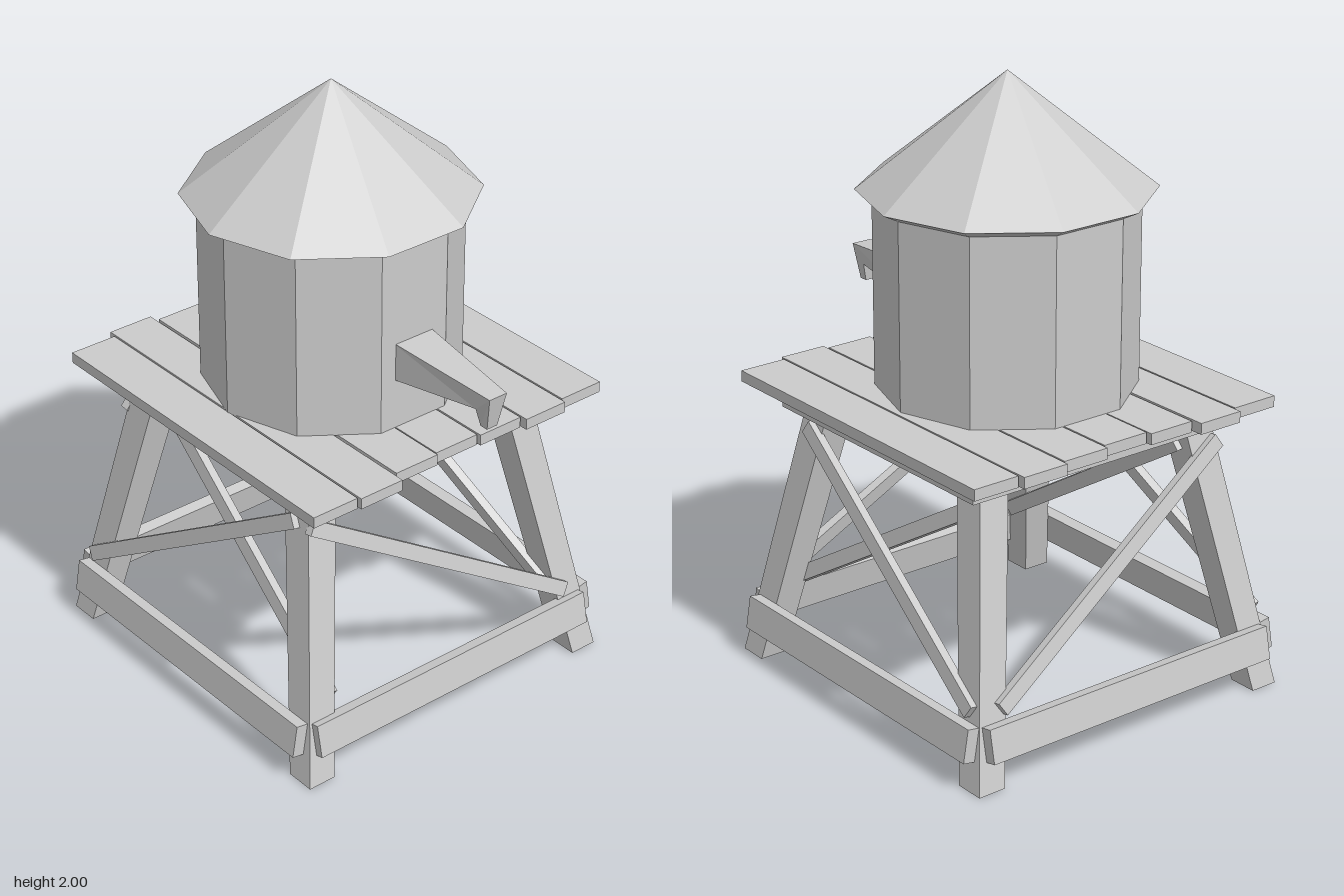
import * as THREE from 'three';

const CZ = -0.06; // tower axis in z
const material = new THREE.MeshStandardMaterial({ color: 0xcccccc, flatShading: true });
const v = (x, y, z) => new THREE.Vector3(x, y, z);

// Outer and inner leg faces, measured from the tower axis at height y
const outX = (y) => 0.603 - 0.165 * y;
const outZ = (y) => 0.63 - 0.205 * y;
const inX = (y) => 0.507 - 0.176 * y;
const inZ = (y) => 0.53 - 0.22 * y;

function add(parent, name, geometry) {
  const mesh = new THREE.Mesh(geometry, material);
  mesh.name = name;
  parent.add(mesh);
  return mesh;
}

function box(parent, name, x0, x1, y0, y1, z0, z1) {
  add(parent, name, new THREE.BoxGeometry(x1 - x0, y1 - y0, z1 - z0))
    .position.set((x0 + x1) / 2, (y0 + y1) / 2, (z0 + z1) / 2);
}

// Square-cut board from a to b; its thickness lies along the given normal
function board(parent, name, a, b, width, thickness, normal) {
  const dir = b.clone().sub(a);
  const mesh = add(parent, name, new THREE.BoxGeometry(dir.length(), width, thickness));
  dir.normalize();
  const n = normal.clone().addScaledVector(dir, -normal.dot(dir)).normalize();
  const up = n.clone().cross(dir);
  mesh.quaternion.setFromRotationMatrix(new THREE.Matrix4().makeBasis(dir, up, n));
  mesh.position.copy(a).add(b).multiplyScalar(0.5);
}

// Closed solid through four-cornered cross-sections
function loft(rings) {
  const pos = [];
  const quad = (a, b, c, d) => [a, b, c, a, c, d].forEach((p) => pos.push(p.x, p.y, p.z));
  for (let r = 0; r < rings.length - 1; r++) {
    for (let i = 0; i < 4; i++) {
      const j = (i + 1) % 4;
      quad(rings[r][i], rings[r][j], rings[r + 1][j], rings[r + 1][i]);
    }
  }
  quad(...rings[0].slice().reverse());
  quad(...rings[rings.length - 1]);
  const g = new THREE.BufferGeometry();
  g.setAttribute('position', new THREE.Float32BufferAttribute(pos, 3));
  g.computeVertexNormals();
  return g;
}

// Ten-sided solid of revolution with corners on the x axis
function decagon(parent, name, profile) {
  const points = profile.map(([r, y]) => new THREE.Vector2(r, y));
  const geometry = new THREE.LatheGeometry(points, 10, Math.PI / 10).toNonIndexed();
  geometry.computeVertexNormals();
  add(parent, name, geometry).position.z = CZ;
}

export function createModel() {
  const model = new THREE.Group();
  model.name = 'waterTower';

  // Four splayed legs
  const legs = new THREE.Group();
  legs.name = 'legs';
  model.add(legs);
  for (const sx of [-1, 1]) {
    for (const sz of [-1, 1]) {
      const ring = (y) => {
        const xs = [sx * outX(y), sx * inX(y)].sort((a, b) => a - b);
        const zs = [CZ + sz * outZ(y), CZ + sz * inZ(y)].sort((a, b) => a - b);
        return [v(xs[0], y, zs[1]), v(xs[1], y, zs[1]), v(xs[1], y, zs[0]), v(xs[0], y, zs[0])];
      };
      add(legs, 'leg', loft([ring(0), ring(0.955)]));
    }
  }

  // Low boards tying the feet, leaning with the legs
  const braces = new THREE.Group();
  braces.name = 'braces';
  model.add(braces);
  for (const s of [-1, 1]) {
    const z = s > 0 ? 0.545 : -0.677;
    board(braces, 'lowerBoard', v(-0.56, 0.155, z), v(0.56, 0.155, z), 0.11, 0.042, v(0, 0.2, s));
    const x = s * 0.598;
    board(braces, 'lowerSideBoard', v(x, 0.155, 0.517), v(x, 0.155, -0.645), 0.11, 0.042, v(s, 0.165, 0));
  }

  // Diagonals: single on front and back, crossed on the sides
  const hi = 0.83, lo = 0.245;
  for (const s of [-1, 1]) {
    board(braces, 'diagonal', v(-0.465, hi, CZ + s * (outZ(hi) + 0.008)),
      v(0.49, lo, CZ + s * (outZ(lo) + 0.008)), 0.05, 0.03, v(0, 0.205, s));
    board(braces, 'outerSideDiagonal', v(s * (outX(hi) + 0.008), hi, 0.35),
      v(s * (outX(lo) + 0.008), lo, -0.61), 0.05, 0.03, v(s, 0.165, 0));
    board(braces, 'innerSideDiagonal', v(s * (inX(hi) - 0.006), hi, -0.47),
      v(s * (inX(lo) - 0.006), lo, 0.49), 0.05, 0.03, v(s, 0.176, 0));
  }

  // Frame under the deck
  const deck = new THREE.Group();
  deck.name = 'deck';
  model.add(deck);
  const t = 0.055;
  for (const z of [-0.55, 0.435 - t]) box(deck, 'frameBeam', -0.49, 0.515, 0.88, 0.955, z, z + t);
  for (const x of [-0.49, 0.515 - t]) box(deck, 'frameSideBeam', x, x + t, 0.88, 0.955, -0.55 + t, 0.435 - t);

  // Planks of uneven length: left edge, right edge, back, front
  const planks = [
    [-0.577, -0.412, -0.665, 0.565], [-0.406, -0.246, -0.695, 0.575],
    [-0.236, -0.074, -0.663, 0.535], [-0.07, 0.094, -0.645, 0.525],
    [0.1, 0.264, -0.665, 0.535], [0.27, 0.432, -0.685, 0.557], [0.438, 0.6, -0.665, 0.537],
  ];
  for (const [x0, x1, z0, z1] of planks) box(deck, 'plank', x0, x1, 0.955, 0.992, z0, z1);

  // Tank and conical roof
  decagon(model, 'tank', [[0, 0.99], [0.415, 0.99], [0.415, 1.605]]);
  decagon(model, 'roof', [[0, 1.603], [0.415, 1.603], [0.468, 1.63], [0, 2]]);

  // Spout tapering forward, then bending down
  const section = (w, lowY, lowZ, highY, highZ) => [
    v(-w, lowY, lowZ), v(w, lowY, lowZ), v(w, highY, highZ), v(-w, highY, highZ)];
  add(model, 'spout', loft([
    section(0.074, 1.158, 0.32, 1.287, 0.32),
    section(0.034, 1.195, 0.655, 1.252, 0.715),
    section(0.02, 1.135, 0.663, 1.135, 0.692),
  ]));

  return model;
}
